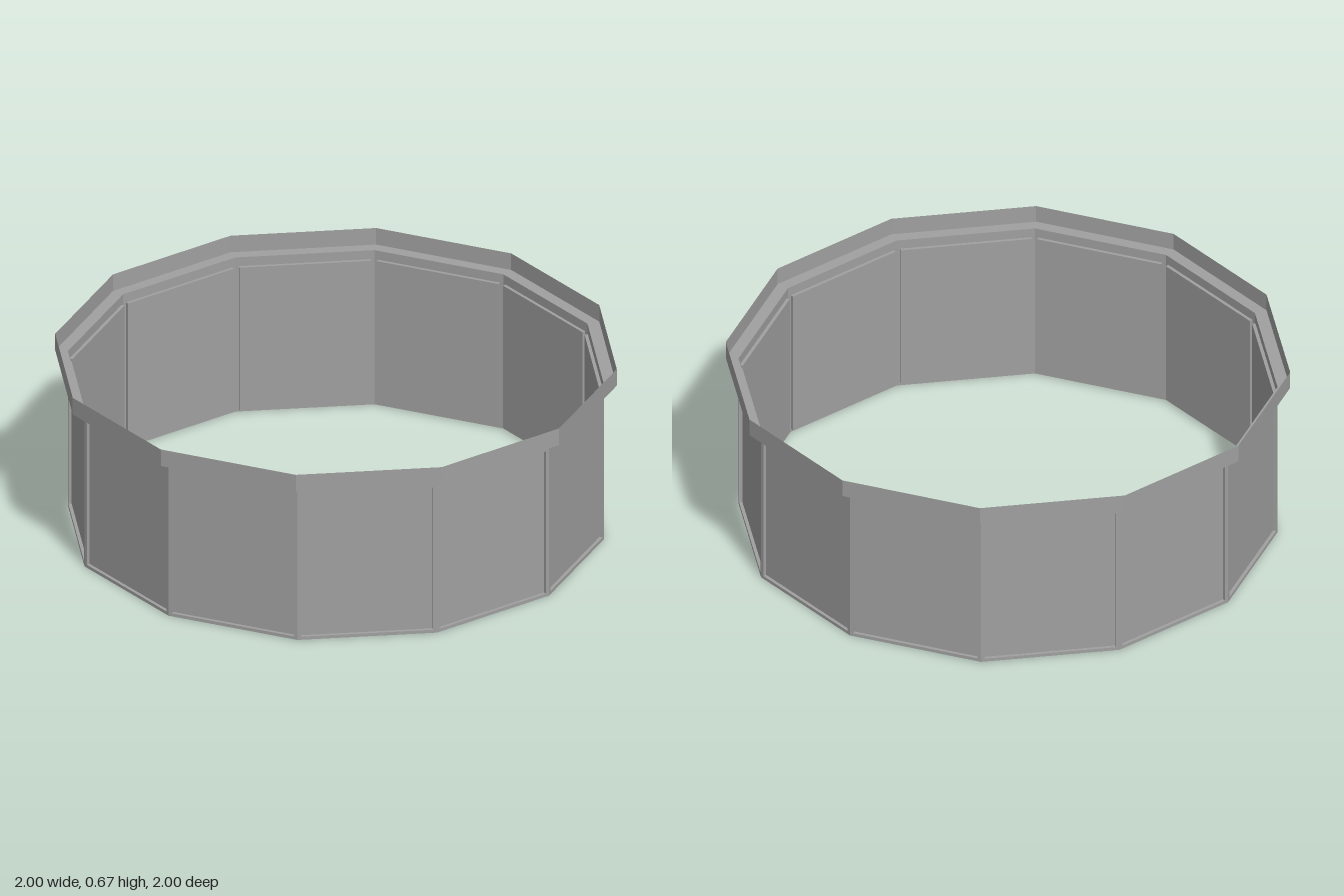
import * as THREE from 'three';

const SIDES = 12;
const WALL_R = 0.955, RIM_R = 1;          // corner radii
const LEDGE_Y = 0.605, TOP_Y = 0.67;
const PANEL_BOTTOM = 0.012, PANEL_TOP = 0.57;
const MARGIN = 0.013, RECESS = 0.012;

// one normal per face, for crisp facets
function faceted(geometry) {
  const g = geometry.index ? geometry.toNonIndexed() : geometry;
  g.computeVertexNormals();
  return g;
}

function rectangle(path, x, y0, y1) {
  path.moveTo(-x, y0);
  path.lineTo(x, y0);
  path.lineTo(x, y1);
  path.lineTo(-x, y1);
  path.closePath();
  return path;
}

export function createModel() {
  const model = new THREE.Group();
  model.name = 'twelveSidedRing';
  const grey = new THREE.MeshStandardMaterial({ color: 0xa0a0a0, side: THREE.DoubleSide });
  grey.name = 'grey';

  const add = (parent, geometry, name) => {
    const mesh = new THREE.Mesh(geometry, grey);
    mesh.name = name;
    parent.add(mesh);
    return mesh;
  };

  // thin stepped rim: flat ledge and upright lip
  const profile = [[WALL_R, LEDGE_Y], [RIM_R, LEDGE_Y], [RIM_R, TOP_Y]];
  add(model, faceted(new THREE.LatheGeometry(
    profile.map(([r, y]) => new THREE.Vector2(r, y)), SIDES)), 'rim');

  // shared parts of one wall side, lying in its own plane
  const half = WALL_R * Math.sin(Math.PI / SIDES);
  const apothem = WALL_R * Math.cos(Math.PI / SIDES);
  const panelHalf = half - MARGIN;
  const panelHeight = PANEL_TOP - PANEL_BOTTOM;
  const panelY = (PANEL_TOP + PANEL_BOTTOM) / 2;

  const frameShape = rectangle(new THREE.Shape(), half, 0, LEDGE_Y);
  frameShape.holes.push(rectangle(new THREE.Path(), panelHalf, PANEL_BOTTOM, PANEL_TOP));
  const frameGeometry = new THREE.ShapeGeometry(frameShape);
  const panelGeometry = new THREE.PlaneGeometry(panelHalf * 2, panelHeight);

  // open square tube joining the frame to the recessed panel
  const edgeGeometry = faceted(new THREE.CylinderGeometry(Math.SQRT1_2, Math.SQRT1_2, 1, 4, 1, true)
    .rotateY(Math.PI / 4).rotateX(Math.PI / 2)
    .scale(panelHalf * 2, panelHeight, RECESS));

  for (let i = 0; i < SIDES; i++) {
    const side = new THREE.Group();
    side.name = `wallSide${i + 1}`;
    side.rotation.y = (i + 0.5) * Math.PI * 2 / SIDES;
    add(side, frameGeometry, 'frame').position.z = apothem;
    add(side, panelGeometry, 'panel').position.set(0, panelY, apothem - RECESS);
    add(side, edgeGeometry, 'panelEdges').position.set(0, panelY, apothem - RECESS / 2);
    model.add(side);
  }
  return model;
}
